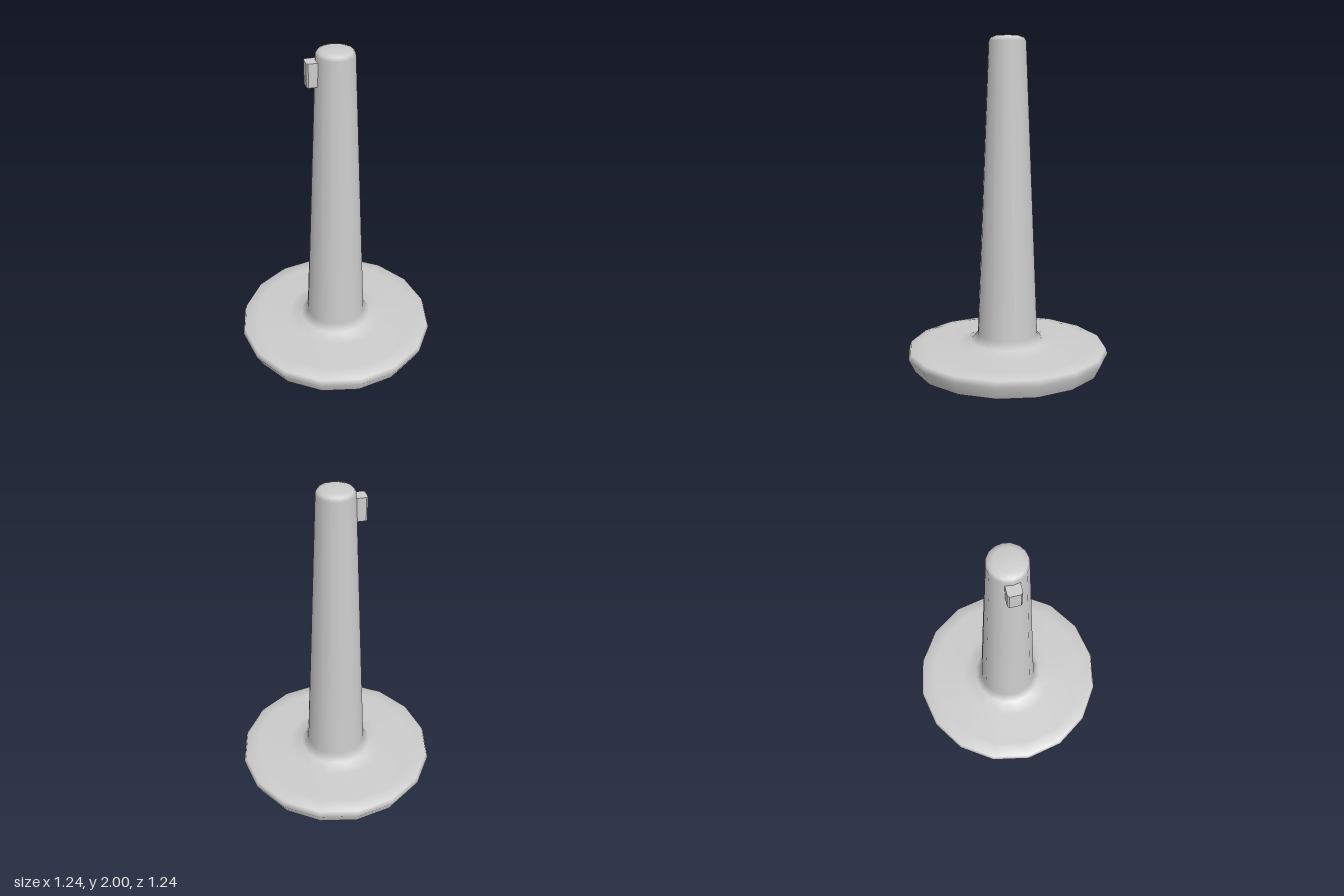
import * as THREE from 'three';

export function createModel() {
  const group = new THREE.Group();
  const material = new THREE.MeshStandardMaterial({ color: 0xcccccc, side: THREE.DoubleSide });

  // Hollow flared base and tapering pole in one turned shell, open underneath
  const profile = [
    [0.58, 0], [0.62, 0.08], [0.607, 0.115], [0.52, 0.127], [0.31, 0.13],
    [0.225, 0.15], [0.185, 0.195], [0.112, 1.965], [0.1, 1.985], [0.07, 1.997], [0, 2],
  ].map(([r, y]) => new THREE.Vector2(r, y));
  const stand = new THREE.Mesh(new THREE.LatheGeometry(profile, 16), material);
  stand.name = 'baseAndPole';
  group.add(stand);

  // Small upright tab near the top, with chamfered outer corners
  const outline = new THREE.Shape([
    [-0.09, -0.04], [-0.09, 0.04], [-0.16, 0.04], [-0.17, 0.03], [-0.17, -0.03], [-0.16, -0.04],
  ].map(([x, z]) => new THREE.Vector2(x, z)));
  const tabGeometry = new THREE.ExtrudeGeometry(outline, { depth: 0.14, bevelEnabled: false });
  tabGeometry.rotateX(-Math.PI / 2);
  const tab = new THREE.Mesh(tabGeometry, material);
  tab.position.y = 1.8;
  tab.name = 'sideTab';
  group.add(tab);

  return group;
}
